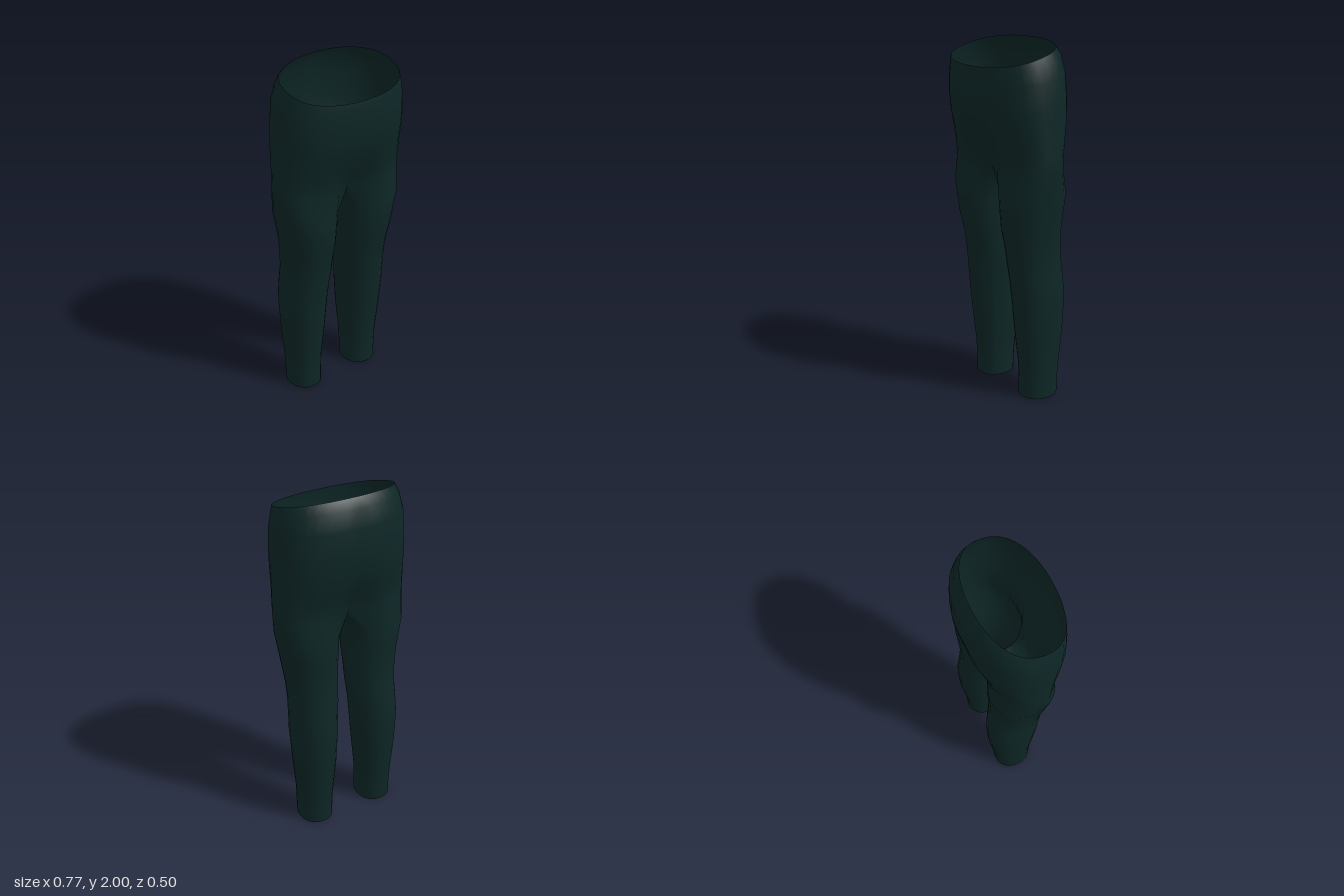
import * as THREE from 'three';
import { mergeVertices } from 'three/addons/utils/BufferGeometryUtils.js';

const OUTER = 18; // segments from centre front round the hip to centre back
const INNER = 7; // points along the crotch seam and inside leg

// y, half width, front z, back z, centre crease depth, waist tilt
const HIP_ROWS = [
  [1.942, 0.335, 0.245, -0.185, 0, 0.058],
  [1.9, 0.35, 0.25, -0.218, 0, 0.05],
  [1.82, 0.368, 0.251, -0.243, 0, 0.03],
  [1.7, 0.375, 0.25, -0.25, 0, 0.01],
  [1.6, 0.378, 0.235, -0.246, 0.03, 0],
  [1.5, 0.38, 0.207, -0.225, 0.1, 0],
  [1.42, 0.384, 0.187, -0.207, 0.22, 0],
  [1.34, 0.386, 0.175, -0.2, 0.4, 0],
];

// y, inside x, outside x, front z, back z
const LEG_ROWS = [
  [1.2, 0.034, 0.37, 0.165, -0.198],
  [1.1, 0.04, 0.352, 0.158, -0.194],
  [1.0, 0.046, 0.336, 0.148, -0.19],
  [0.9, 0.05, 0.326, 0.123, -0.19],
  [0.8, 0.055, 0.32, 0.11, -0.2],
  [0.7, 0.065, 0.323, 0.098, -0.212],
  [0.6, 0.07, 0.327, 0.087, -0.218],
  [0.4, 0.083, 0.315, 0.07, -0.213],
  [0.2, 0.098, 0.302, 0.046, -0.192],
  [0.1, 0.101, 0.299, 0.042, -0.183],
  [0.0, 0.102, 0.297, 0.04, -0.18],
];

// Slightly squared-off sine and cosine
const soften = (v, p) => Math.sign(v) * Math.pow(Math.abs(v), p);

// Half ring from centre front to centre back
function hipRow([y, w, front, back, crease, tilt]) {
  const row = [];
  for (let i = 0; i <= OUTER; i++) {
    const t = (Math.PI * i) / OUTER;
    const x = i === 0 || i === OUTER ? 0 : w * soften(Math.sin(t), 0.92);
    const c = soften(Math.cos(t), 0.85);
    const dent = 1 - crease * (1 - THREE.MathUtils.smoothstep(x, 0, 0.18));
    const z = (front + back) / 2 + (c * dent * (front - back)) / 2;
    row.push(new THREE.Vector3(x, y - tilt * c, z));
  }
  return row;
}

// Closed ring round one leg, starting at the inner front
function legRow([y, inside, outside, front, back]) {
  const row = [];
  for (let i = 0; i <= OUTER + INNER; i++) {
    const degrees = i <= OUTER
      ? -50 + (280 * i) / OUTER
      : 230 + (80 * (i - OUTER)) / (INNER + 1);
    const a = THREE.MathUtils.degToRad(degrees);
    row.push(new THREE.Vector3(
      (inside + outside) / 2 + ((outside - inside) / 2) * soften(Math.sin(a), 0.9),
      y,
      (front + back) / 2 + ((front - back) / 2) * soften(Math.cos(a), 0.9),
    ));
  }
  return row;
}

// Joins two rows into a band of triangles, mirrored when side is -1
function addBand(out, upper, lower, closed, side) {
  const n = upper.length;
  for (let i = 0; i < (closed ? n : n - 1); i++) {
    const j = (i + 1) % n;
    const corners = [upper[i], lower[i], upper[j], upper[j], lower[i], lower[j]];
    if (side < 0) corners.reverse();
    for (const p of corners) out.push(p.x * side, p.y, p.z);
  }
}

export function createModel() {
  const group = new THREE.Group();
  group.name = 'trousers';
  const fabric = new THREE.MeshStandardMaterial({ color: 0x0e2626, side: THREE.DoubleSide });
  fabric.name = 'dark teal fabric';

  const hips = HIP_ROWS.map(hipRow);
  const lastHip = hips[hips.length - 1];

  // Crotch seam dips from centre back to centre front and closes the leg top
  const seam = [];
  for (let k = 1; k <= INNER; k++) {
    const f = k / (INNER + 1);
    const p = lastHip[OUTER].clone().lerp(lastHip[0], f);
    p.y -= 0.08 * Math.pow(Math.sin(Math.PI * f), 0.7);
    seam.push(p);
  }
  const legs = [[...lastHip, ...seam], ...LEG_ROWS.map(legRow)];

  // One continuous garment so the shading runs smoothly across the seams
  const positions = [];
  for (const side of [1, -1]) {
    for (let r = 0; r < hips.length - 1; r++) addBand(positions, hips[r], hips[r + 1], false, side);
    for (let r = 0; r < legs.length - 1; r++) addBand(positions, legs[r], legs[r + 1], true, side);
  }
  let geometry = new THREE.BufferGeometry();
  geometry.setAttribute('position', new THREE.Float32BufferAttribute(positions, 3));
  geometry = mergeVertices(geometry, 1e-4);
  geometry.computeVertexNormals();

  const mesh = new THREE.Mesh(geometry, fabric);
  mesh.name = 'trouserLegsAndWaist';
  group.add(mesh);
  return group;
}
